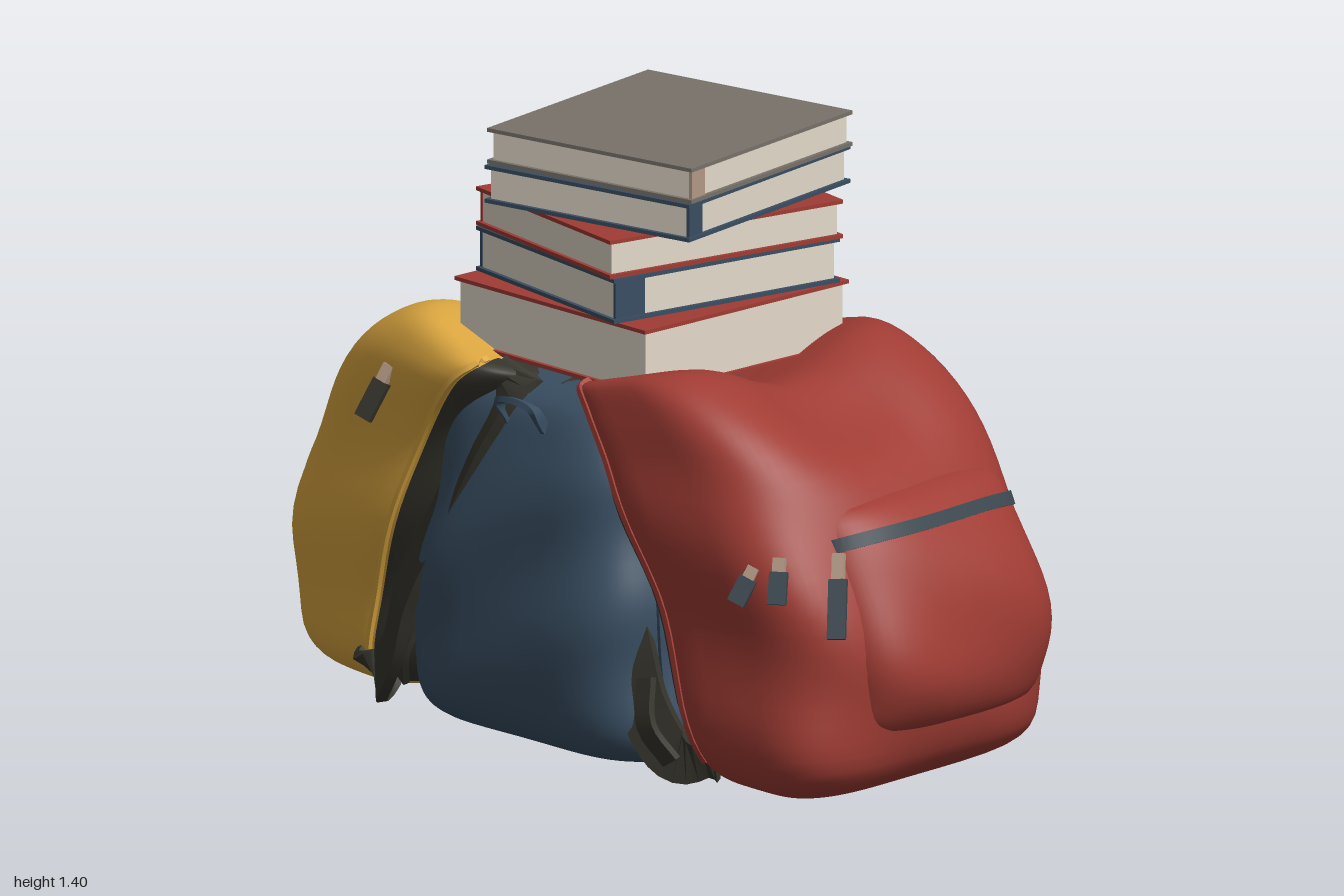
import * as THREE from 'three';
import { toCreasedNormals } from 'three/addons/utils/BufferGeometryUtils.js';

const V = (x, y, z) => new THREE.Vector3(x, y, z);
const mat = (name, color) => Object.assign(new THREE.MeshStandardMaterial({ color }), { name });

function buffer(pos, idx) {
  const g = new THREE.BufferGeometry();
  g.setAttribute('position', new THREE.Float32BufferAttribute(pos, 3));
  g.setIndex(idx);
  g.computeVertexNormals();
  return g;
}

function add(group, name, geo, material) {
  const m = new THREE.Mesh(geo, material);
  m.name = name;
  group.add(m);
  return m;
}

// Soft bag surface. Each row: back z, back y, front z, front y, x min, x max.
function bagSurface(rows, power, sag) {
  const back = new THREE.CatmullRomCurve3(rows.map(r => V(r[0], r[1], r[4])));
  const front = new THREE.CatmullRomCurve3(rows.map(r => V(r[2], r[3], r[5])));
  const soft = s => Math.sign(s) * Math.abs(s) ** power;
  return (u, v) => {
    const b = back.getPoint(u), f = front.getPoint(u), a = v * Math.PI * 2;
    const sx = soft(Math.cos(a)), sd = soft(Math.sin(a));
    const p = V((b.z + f.z) / 2 + sx * (f.z - b.z) / 2,
      (b.y + f.y) / 2 + sd * (f.y - b.y) / 2,
      (b.x + f.x) / 2 + sd * (f.x - b.x) / 2);
    // cloth folds, and the top sinking between the corners
    const fold = 0.009 * Math.sin(11 * p.x + 17 * p.y + 4 * p.z) * Math.sin(Math.PI * u);
    p.x += fold * sx;
    p.z += fold * sd;
    const high = THREE.MathUtils.smoothstep(p.y, 0.72, 0.94);
    p.y -= sag * high * Math.exp(-((p.x - 0.03) ** 2) / 0.035);
    return p;
  };
}

// Group 0 is the cloth, group 1 the panel on the back
function bagGeometry(surface, nu = 48, nv = 72) {
  const pos = [], cloth = [], panel = [];
  for (let i = 0; i <= nu; i++) {
    for (let j = 0; j < nv; j++) pos.push(...surface(i / nu, j / nv).toArray());
  }
  for (let i = 0; i < nu; i++) {
    for (let j = 0; j < nv; j++) {
      const a = i * nv + j, b = i * nv + (j + 1) % nv;
      const onBack = j > nv * 0.57 && j < nv * 0.92 && i > nu * 0.12 && i < nu * 0.85;
      (onBack ? panel : cloth).push(a, a + nv, b, b, a + nv, b + nv);
    }
  }
  const g = buffer(pos, cloth.concat(panel));
  g.addGroup(0, cloth.length, 0);
  g.addGroup(cloth.length, panel.length, 1);
  return g;
}

// Flat band swept along points; across is its width direction.
function band(points, across, width, thick, n = 28) {
  const curve = new THREE.CatmullRomCurve3(points), pos = [], idx = [];
  for (let i = 0; i <= n; i++) {
    const p = curve.getPoint(i / n), t = curve.getTangent(i / n);
    const w = across.clone().addScaledVector(t, -across.dot(t)).normalize();
    const k = t.clone().cross(w);
    for (const [a, b] of [[1, 1], [-1, 1], [-1, -1], [1, -1]]) {
      pos.push(...p.clone().addScaledVector(w, a * width / 2).addScaledVector(k, b * thick / 2).toArray());
    }
  }
  for (let i = 0; i < n; i++) {
    for (let j = 0; j < 4; j++) {
      const a = i * 4 + j, b = i * 4 + (j + 1) % 4;
      idx.push(a, b, a + 4, b, b + 4, a + 4);
    }
  }
  const e = n * 4;
  idx.push(0, 2, 1, 0, 3, 2, e, e + 1, e + 2, e, e + 2, e + 3);
  return toCreasedNormals(buffer(pos, idx), 0.7);
}

// Body, pocket, seams and pocket zip shared by every backpack
function bag(name, bodyRows, pocketRows, power, sag, cloth, panel, zip) {
  const g = new THREE.Group();
  g.name = name;
  const body = bagSurface(bodyRows, power, sag), pocket = bagSurface(pocketRows, 0.62, 0);
  add(g, 'bagBody', bagGeometry(body), [cloth, panel]);
  add(g, 'frontPocket', bagGeometry(pocket, 30, 60), [cloth, cloth]);
  for (const v of [0.94, 0.56]) {
    const seam = Array.from({ length: 16 }, (_, i) => body(0.2 + 0.62 * i / 15, v));
    add(g, 'sideSeam', band(seam, V(1, 0, 0), 0.014, 0.014), cloth);
  }
  const track = Array.from({ length: 24 }, (_, i) => {
    const v = 0.015 + 0.47 * i / 23;
    return pocket((3.95 + 0.35 * Math.sin(v * Math.PI * 2)) / 6, v);
  });
  add(g, 'pocketZip', band(track, V(0, 0.85, -0.4), 0.032, 0.016, 60), zip);
  return g;
}

function pull(g, a, b, metal, tab) {
  const mid = a.clone().lerp(b, 0.3);
  add(g, 'zipSlider', band([a, mid], V(0.5, 0, 1), 0.028, 0.018, 1), metal);
  add(g, 'zipPull', band([mid, b], V(0.6, 0, 1), 0.042, 0.016, 1), tab);
}

const leaningBody = [
  [0.62, 0.012, 0.62, 0.012, 0.03, 0.03],
  [0.48, 0.03, 0.80, 0.02, -0.30, 0.35],
  [0.42, 0.10, 0.91, 0.10, -0.38, 0.43],
  [0.34, 0.28, 0.94, 0.30, -0.39, 0.45],
  [0.24, 0.50, 0.89, 0.53, -0.40, 0.45],
  [0.14, 0.70, 0.76, 0.74, -0.40, 0.44],
  [0.06, 0.82, 0.60, 0.89, -0.39, 0.43],
  [0.04, 0.86, 0.44, 0.965, -0.36, 0.39],
  [0.12, 0.88, 0.30, 0.94, -0.26, 0.29],
  [0.20, 0.90, 0.20, 0.90, 0.02, 0.02]];
const leaningPocket = [
  [0.80, 0.17, 0.80, 0.17, 0.06, 0.06],
  [0.70, 0.18, 0.95, 0.19, -0.22, 0.34],
  [0.62, 0.28, 1.00, 0.30, -0.25, 0.37],
  [0.56, 0.45, 0.98, 0.46, -0.25, 0.37],
  [0.52, 0.58, 0.90, 0.61, -0.26, 0.37],
  [0.50, 0.64, 0.82, 0.69, -0.24, 0.35],
  [0.62, 0.68, 0.62, 0.68, 0.06, 0.06]];
const uprightBody = [
  [-0.05, 0.03, -0.05, 0.03, 0, 0],
  [-0.41, 0.035, 0.27, 0.03, -0.37, 0.37],
  [-0.47, 0.11, 0.32, 0.10, -0.41, 0.41],
  [-0.485, 0.30, 0.34, 0.30, -0.39, 0.39],
  [-0.465, 0.50, 0.30, 0.50, -0.36, 0.36],
  [-0.43, 0.70, 0.23, 0.70, -0.31, 0.31],
  [-0.37, 0.82, 0.15, 0.80, -0.25, 0.25],
  [-0.20, 0.865, 0.06, 0.865, -0.13, 0.13],
  [-0.08, 0.87, -0.08, 0.87, 0, 0]];
const uprightPocket = [
  [0.24, 0.15, 0.24, 0.15, 0, 0],
  [0.16, 0.16, 0.35, 0.17, -0.29, 0.25],
  [0.12, 0.22, 0.38, 0.24, -0.33, 0.29],
  [0.10, 0.34, 0.385, 0.36, -0.32, 0.28],
  [0.08, 0.46, 0.36, 0.47, -0.29, 0.25],
  [0.06, 0.52, 0.32, 0.53, -0.25, 0.21],
  [0.18, 0.54, 0.18, 0.54, 0, 0]];

// straps: [side, outward reach, distance from the back, points used]; pulls: [top, bottom, tab material]
function leaningPack(name, cloth, dark, zip, metal, straps, pulls) {
  const g = bag(name, leaningBody, leaningPocket, 0.55, 0.1, cloth, dark, zip);
  for (const [side, reach, gap, count] of straps) {
    const P = (k, y, z) => V(side * reach * k, y, z - gap);
    const path = [P(0.5, 0.85, 0.12), P(0.7, 0.84, 0.07), P(0.82, 0.72, 0.12), P(0.91, 0.5, 0.23),
      P(1, 0.3, 0.32), P(1, 0.17, 0.37), P(0.97, 0.08, 0.45), P(0.86, 0.085, 0.54)];
    add(g, 'shoulderStrap', band(path.slice(0, count), V(-side * 0.4, 0.3, 1), 0.12, 0.025, 40), dark);
    add(g, 'lowerWebbing', band([V(side * 0.38, 0.25, 0.37), V(side * 0.41, 0.15, 0.4), V(side * 0.38, 0.07, 0.45)],
      V(0, 0.4, 1), 0.05, 0.016, 8), dark);
  }
  for (const [a, b, tab] of pulls) pull(g, V(...a), V(...b), metal, tab);
  return g;
}

// spines lists the faces (+1 front, -1 rear) where the spine wraps the left corner
function book(y, h, w, d, x, z, turn, cover, spine, spines, width, pages) {
  const g = new THREE.Group(), t = 0.009;
  g.name = 'book';
  const box = (name, a, b, c, px, py, pz, m) => add(g, name, new THREE.BoxGeometry(a, b, c), m).position.set(px, py, pz);
  box('pages', w - 0.02, h - 2 * t, d - 0.02, 0, h / 2, 0, pages);
  box('bottomCover', w, t, d, 0, t / 2, 0, cover);
  box('topCover', w, t, d, 0, h - t / 2, 0, cover);
  for (const s of spines) {
    box('spineEnd', width, h - 2 * t, 0.008, -w / 2 + width / 2 + 0.008, h / 2, s * (d / 2 - 0.009), spine);
  }
  g.position.set(x, y, z);
  g.rotation.y = turn;
  return g;
}

export function createModel() {
  const red = mat('red cloth', 0xa03c34), yellow = mat('yellow cloth', 0xdba640);
  const blue = mat('blue cloth', 0x394e62), dark = mat('dark webbing', 0x35342c);
  const cream = mat('page cream', 0xe4dacb), grey = mat('grey cover', 0x78726a);
  const tan = mat('tan trim', 0xb39a86), slate = mat('slate zip', 0x3c4850);
  const model = new THREE.Group();
  model.name = 'backpacksAndBooks';

  const front = leaningPack('redBackpack', red, dark, slate, tan, [[-1, 0.37, 0.01, 8], [1, 0.36, 0.03, 4]], [
    [[-0.37, 0.61, 0.78], [-0.40, 0.51, 0.80], slate],
    [[-0.39, 0.58, 0.72], [-0.43, 0.50, 0.70], slate],
    [[-0.25, 0.61, 0.85], [-0.31, 0.43, 0.90], slate],
    [[0.45, 0.89, 0.28], [0.52, 0.72, 0.30], dark]]);
  front.rotation.y = 0.05;
  front.position.x = -0.03;
  const rear = leaningPack('yellowBackpack', yellow, dark, dark, tan, [[-1, 0.43, 0.07, 8], [1, 0.45, 0, 8]], [
    [[-0.40, 0.57, 0.64], [-0.42, 0.41, 0.76], dark],
    [[-0.41, 0.53, 0.76], [-0.44, 0.48, 0.66], dark],
    [[-0.34, 0.60, 0.83], [-0.37, 0.41, 0.84], dark],
    [[0.44, 0.82, 0.40], [0.50, 0.70, 0.42], dark]]);
  rear.rotation.y = Math.PI - 0.2;
  rear.position.set(-0.06, 0, 0.045);

  // upright pack between the two leaning ones, turned to the side
  const middle = bag('blueBackpack', uprightBody, uprightPocket, 0.46, 0, blue, blue, blue);
  middle.rotation.y = Math.PI / 2;
  pull(middle, V(-0.25, 0.50, 0.34), V(-0.28, 0.38, 0.37), tan, dark);
  add(middle, 'grabHandle', band([V(-0.06, 0.76, -0.39), V(-0.05, 0.82, -0.43), V(0.05, 0.82, -0.43), V(0.06, 0.76, -0.39)],
    V(0, 0.3, -1), 0.025, 0.014), blue);
  model.add(front, rear, middle);

  // stack of books, bottom to top
  model.add(
    book(0.88, 0.157, 0.63, 0.63, -0.01, 0, 0, red, red, [], 0, cream),
    book(1.037, 0.104, 0.62, 0.55, 0.01, 0, -0.15, blue, blue, [1, -1], 0.08, cream),
    book(1.141, 0.09, 0.63, 0.55, 0.015, 0, -0.17, red, red, [-1], 0.04, cream),
    book(1.231, 0.088, 0.62, 0.57, 0.03, 0.01, 0.19, blue, blue, [1], 0.05, cream),
    book(1.319, 0.083, 0.61, 0.575, 0.037, 0.01, 0.18, grey, tan, [1], 0.05, cream));
  return model;
}
